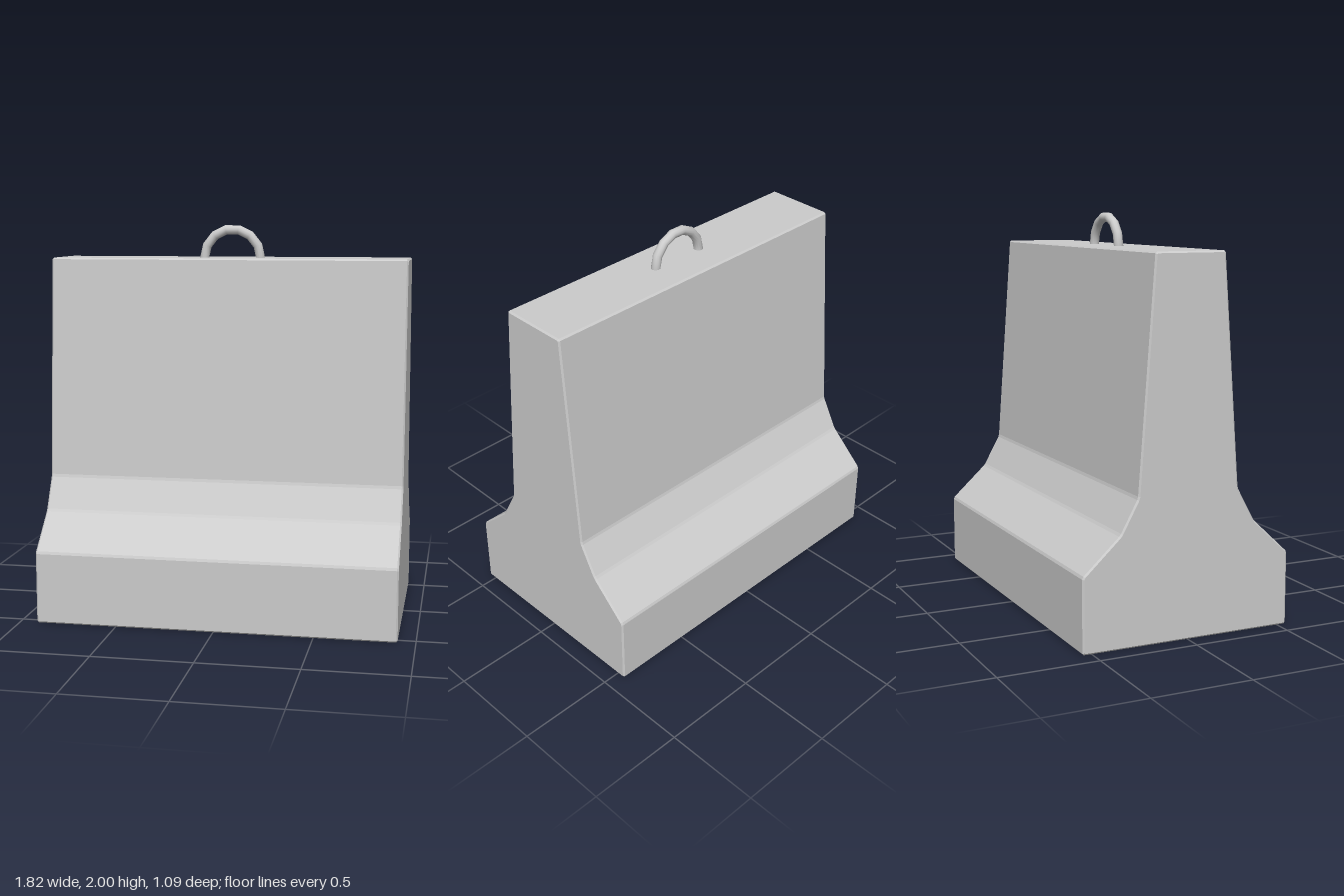
import * as THREE from 'three';

const BEVEL = 0.008;

// Closed shape whose corners are all cut by a small chamfer
function chamferedShape(points, cut) {
  const pts = points.map(([x, y]) => new THREE.Vector2(x, y));
  const out = [];
  pts.forEach((p, i) => {
    for (const q of [pts.at(i - 1), pts[(i + 1) % pts.length]]) {
      out.push(p.clone().add(q.clone().sub(p).setLength(cut)));
    }
  });
  return new THREE.Shape(out);
}

export function createModel() {
  const model = new THREE.Group();
  model.name = 'concreteBarrier';
  const material = new THREE.MeshStandardMaterial({ color: 0xcccccc });

  // Barrier body: mirrored cross-section extruded along x
  const half = [[0.547, 0], [0.547, 0.367], [0.355, 0.545], [0.265, 0.71], [0.182, 1.835]];
  const profile = [...half, ...half.map(([z, y]) => [-z, y]).reverse()];
  const length = 1.824;
  const bodyGeometry = new THREE.ExtrudeGeometry(chamferedShape(profile, BEVEL), {
    depth: length - 2 * BEVEL,
    bevelEnabled: true,
    bevelThickness: BEVEL,
    bevelSize: BEVEL,
    bevelOffset: -BEVEL,
    bevelSegments: 1,
  });
  bodyGeometry.translate(0, 0, BEVEL - length / 2);
  bodyGeometry.rotateY(Math.PI / 2);
  const body = new THREE.Mesh(bodyGeometry, material);
  body.name = 'barrierBody';
  model.add(body);

  // Lifting loop: half ring standing on the top face
  const loop = new THREE.Mesh(new THREE.TorusGeometry(0.147, 0.024, 12, 7, Math.PI), material);
  loop.name = 'liftingLoop';
  loop.position.y = 1.833;
  model.add(loop);

  return model;
}
